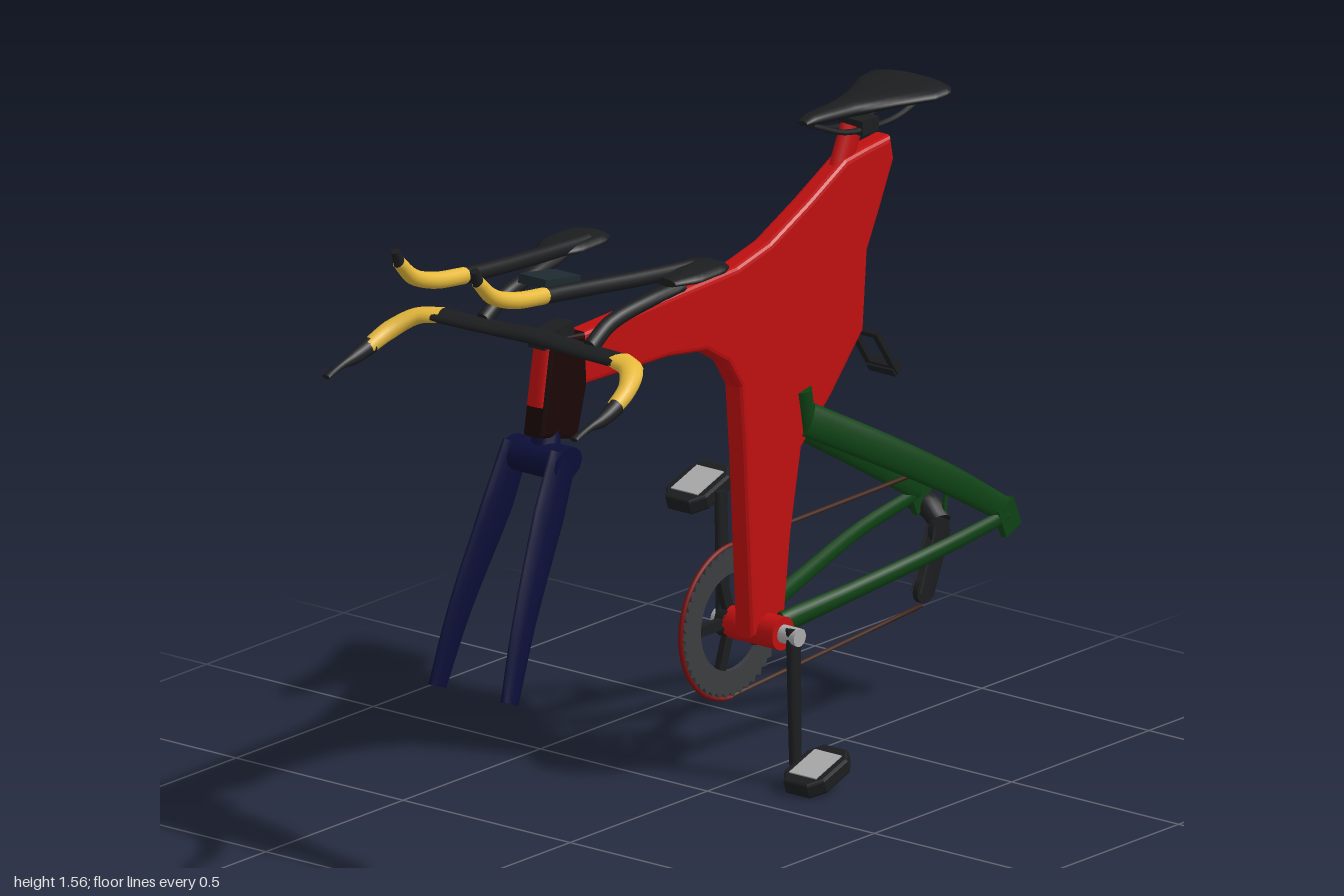
import * as THREE from 'three';

const mat = (color) => new THREE.MeshStandardMaterial({ color });
const red = mat(0xc01010), black = mat(0x1c1d1f), head = mat(0x1a0606), green = mat(0x0e4214);
const navy = mat(0x0c0e38), yellow = mat(0xe6b93c), grey = mat(0x3c3d40), silver = mat(0xaaaaaa);
const chainCol = mat(0x3a1a0c), slate = mat(0x1e2a30);

export function createModel() {
  const model = new THREE.Group();
  const add = (name, geo, material, pos = [0, 0, 0], rot = [0, 0, 0]) => {
    const m = new THREE.Mesh(geo, material);
    m.name = name;
    m.position.set(...pos);
    m.rotation.set(...rot);
    model.add(m);
    return m;
  };
  const box = (name, size, material, pos, rot) => add(name, new THREE.BoxGeometry(...size), material, pos, rot);

  // Sweep of elliptical sections; each point is [x, y, z, halfWidth, halfHeight]
  const loft = (name, pts, material, { steps = 4, sides = 12, ref = [1, 0, 0] } = {}) => {
    const curve = new THREE.CatmullRomCurve3(pts.map((p) => new THREE.Vector3(p[0], p[1], p[2])));
    const n = (pts.length - 1) * steps, pos = [], idx = [];
    for (let i = 0; i <= n; i++) {
      const k = Math.min(Math.floor(i / steps), pts.length - 2), f = i / steps - k;
      const a = THREE.MathUtils.lerp(pts[k][3], pts[k + 1][3], f);
      const b = THREE.MathUtils.lerp(pts[k][4] ?? pts[k][3], pts[k + 1][4] ?? pts[k + 1][3], f);
      const c = curve.getPoint(i / n), t = curve.getTangent(i / n);
      const side = new THREE.Vector3(...ref).addScaledVector(t, -t.dot(new THREE.Vector3(...ref))).normalize();
      const up = t.clone().cross(side);
      for (let j = 0; j < sides; j++) {
        const w = ((j + 0.5) / sides) * Math.PI * 2;
        const v = c.clone().addScaledVector(side, a * Math.cos(w)).addScaledVector(up, b * Math.sin(w));
        pos.push(v.x, v.y, v.z);
        const p = i * sides + j, q = i * sides + ((j + 1) % sides);
        if (i < n) idx.push(p, q, p + sides, q, q + sides, p + sides);
      }
    }
    // End caps on their own vertices so the rims stay crisp
    for (const end of [0, n]) {
      const base = pos.length / 3;
      pos.push(...pos.slice(end * sides * 3, (end + 1) * sides * 3));
      for (let j = 1; j < sides - 1; j++) idx.push(base, base + (end ? j : j + 1), base + (end ? j + 1 : j));
    }
    const g = new THREE.BufferGeometry();
    g.setAttribute('position', new THREE.Float32BufferAttribute(pos, 3));
    g.setIndex(idx);
    g.computeVertexNormals();
    return add(name, g, material);
  };

  // Plate drawn in the (z, y) plane, thickened along x with a bevel
  const plate = (name, shape, width, bevel, material, x = 0, y = 0, z = 0) => {
    const g = new THREE.ExtrudeGeometry(shape, {
      depth: width - 2 * bevel, bevelEnabled: bevel > 0, bevelThickness: bevel, bevelSize: bevel,
      bevelOffset: -bevel, bevelSegments: 3, curveSegments: 32,
    });
    g.translate(0, 0, -(width - 2 * bevel) / 2);
    return add(name, g, material, [x, y, z], [0, -Math.PI / 2, 0]);
  };
  const outline = (pts) => new THREE.Shape(pts.map((p) => new THREE.Vector2(...p)));

  // Main frame, seat post and head tube
  plate('mainFrame', outline([
    [0.5, 1.11], [0.5, 1.237], [-0.08, 1.257], [-0.2, 1.285], [-0.34, 1.35], [-0.475, 1.42], [-0.555, 1.43],
    [-0.64, 1.438], [-0.652, 1.38], [-0.6, 1.27], [-0.555, 1.18], [-0.54, 0.99], [-0.42, 0.857], [-0.315, 0.76],
    [-0.276, 0.56], [-0.25, 0.34], [-0.13, 0.34], [-0.115, 0.6], [-0.105, 0.78], [-0.09, 0.96], [-0.045, 1.03],
    [0.035, 1.08], [0.17, 1.1],
  ]), 0.056, 0.014, red);
  loft('seatPost', [[0, 1.39, -0.48, 0.02, 0.035], [0, 1.485, -0.525, 0.02, 0.035]], red);
  plate('headTube', outline([[0.6, 1.255], [0.475, 1.238], [0.47, 1.11], [0.506, 0.985], [0.64, 1.02]]), 0.06, 0.012, head);
  loft('headFront', [[0, 1.25, 0.598, 0.024, 0.012], [0, 1.09, 0.626, 0.024, 0.012]], red);
  add('bottomBracket', new THREE.CylinderGeometry(0.04, 0.04, 0.15, 24), red, [0, 0.35, -0.185], [0, 0, Math.PI / 2]);
  loft('stayYoke', [[0, 0.9, -0.32, 0.045, 0.03], [0, 0.79, -0.34, 0.045, 0.03]], green);

  // Fork
  loft('forkCrown', [[-0.086, 0.962, 0.61, 0.05, 0.038], [0.086, 0.962, 0.61, 0.05, 0.038]], navy, { ref: [0, -0.25, 1] });
  add('steerer', new THREE.CylinderGeometry(0.03, 0.04, 0.08, 16), navy, [0, 0.99, 0.59], [-0.27, 0, 0]);
  for (const s of [1, -1]) {
    loft('forkBlade', [
      [s * 0.07, 0.985, 0.61, 0.016, 0.05], [s * 0.077, 0.85, 0.672, 0.016, 0.056],
      [s * 0.096, 0.62, 0.785, 0.013, 0.042], [s * 0.108, 0.445, 0.852, 0.012, 0.032],
    ], navy);

    // Rear triangle
    loft('seatStay', [
      [s * 0.03, 0.825, -0.33, 0.016, 0.042], [s * 0.08, 0.715, -0.53, 0.015, 0.04],
      [s * 0.115, 0.6, -0.73, 0.013, 0.036], [s * 0.13, 0.475, -0.93, 0.011, 0.03],
    ], green);
    loft('chainStay', [
      [s * 0.04, 0.36, -0.22, 0.018, 0.028], [s * 0.075, 0.39, -0.42, 0.015, 0.023],
      [s * 0.12, 0.435, -0.7, 0.012, 0.02], [s * 0.133, 0.465, -0.93, 0.01, 0.018],
    ], green);
    box('dropout', [0.018, 0.075, 0.06], green, [s * 0.133, 0.46, -0.93], [0.4, 0, 0]);

    // Crank arm and pedal, the two sides half a turn apart
    const py = 0.35 - s * 0.305, pz = -0.185 + s * 0.01;
    add('crankCap', new THREE.CylinderGeometry(0.022, 0.022, 0.06, 20), silver, [s * 0.095, 0.35, -0.185], [0, 0, Math.PI / 2]);
    loft('crankArm', [[s * 0.105, 0.35 + s * 0.02, -0.185, 0.015, 0.022], [s * 0.12, py, pz, 0.012, 0.018]], black);
    const pedal = new THREE.Group();
    pedal.name = 'pedal';
    const body = outline([[-0.06, -0.045], [-0.06, 0.045], [-0.035, 0.08], [0.035, 0.08], [0.06, 0.045], [0.06, -0.045], [0.035, -0.08], [-0.035, -0.08]].reverse());
    const bodyGeo = new THREE.ExtrudeGeometry(body, { depth: 0.026, bevelThickness: 0.006, bevelSize: 0.006, bevelOffset: -0.006, bevelSegments: 2 });
    bodyGeo.translate(0, 0, -0.013);
    bodyGeo.rotateX(Math.PI / 2);
    pedal.add(new THREE.Mesh(bodyGeo, black), new THREE.Mesh(new THREE.BoxGeometry(0.08, 0.044, 0.1), silver));
    pedal.children[0].name = 'pedalBody';
    pedal.children[1].name = 'pedalPlate';
    pedal.position.set(s * 0.185, py - 0.005, pz);
    pedal.rotation.x = 0.33;
    model.add(pedal);

    // Base bar grip and brake lever
    loft('barGrip', [
      [s * 0.265, 1.262, 0.645, 0.036, 0.016], [s * 0.32, 1.255, 0.668, 0.03, 0.019],
      [s * 0.355, 1.228, 0.725, 0.022, 0.022], [s * 0.367, 1.2, 0.79, 0.019, 0.019],
    ], yellow, { ref: [-s * 0.6, 0, 1] });
    loft('brakeLever', [
      [s * 0.367, 1.203, 0.78, 0.021, 0.021], [s * 0.371, 1.185, 0.83, 0.014, 0.018],
      [s * 0.371, 1.178, 0.88, 0.01, 0.009], [s * 0.371, 1.163, 0.938, 0.011, 0.006],
    ], black);

    // Aero extension, arm pad and its bracket
    loft('extension', [
      [s * 0.155, 1.367, 0.25, 0.018], [s * 0.145, 1.378, 0.4, 0.019],
      [s * 0.13, 1.395, 0.58, 0.019], [s * 0.12, 1.412, 0.745, 0.019],
    ], black);
    loft('extensionGrip', [
      [s * 0.12, 1.412, 0.74, 0.02], [s * 0.12, 1.428, 0.85, 0.02],
      [s * 0.119, 1.458, 0.93, 0.019], [s * 0.118, 1.505, 0.98, 0.016],
    ], yellow);
    loft('extensionTip', [[s * 0.118, 1.5, 0.977, 0.015], [s * 0.118, 1.535, 0.992, 0.011]], black);
    loft('armPad', [
      [s * 0.178, 1.366, 0.19, 0.045, 0.01], [s * 0.178, 1.367, 0.225, 0.063, 0.015],
      [s * 0.178, 1.366, 0.31, 0.063, 0.016], [s * 0.176, 1.364, 0.37, 0.035, 0.01],
    ], black);
    loft('padBracket', [
      [s * 0.18, 1.345, 0.32, 0.024, 0.014], [s * 0.17, 1.332, 0.42, 0.022, 0.017],
      [s * 0.16, 1.305, 0.55, 0.018, 0.02], [s * 0.16, 1.265, 0.62, 0.018, 0.022],
    ], black);

    // Saddle rails
    loft('saddleRail', [
      [s * 0.012, 1.525, -0.37, 0.007], [s * 0.025, 1.487, -0.47, 0.007], [s * 0.03, 1.478, -0.59, 0.007],
      [s * 0.035, 1.488, -0.67, 0.007], [s * 0.045, 1.525, -0.75, 0.007],
    ], black, { sides: 8 });
    // Derailleur cage plates
    loft('derailleurCage', [[-0.08 + s * 0.012, 0.39, -0.94, 0.004, 0.032], [-0.08 + s * 0.012, 0.24, -0.88, 0.004, 0.028]], black);
  }

  // Base bar, stem and display
  loft('baseBar', [
    [-0.275, 1.262, 0.648, 0.036, 0.014], [-0.13, 1.258, 0.632, 0.036, 0.014], [0, 1.258, 0.622, 0.034, 0.016],
    [0.13, 1.258, 0.632, 0.036, 0.014], [0.275, 1.262, 0.648, 0.036, 0.014],
  ], black, { ref: [0, 0, 1] });
  box('stem', [0.05, 0.035, 0.11], black, [0, 1.252, 0.57], [0.1, 0, 0]);
  box('display', [0.08, 0.022, 0.13], slate, [0, 1.387, 0.575], [-0.16, 0, 0]);

  // Saddle and clamp
  loft('saddle', [
    [0, 1.535, -0.345, 0.016, 0.006], [0, 1.537, -0.38, 0.024, 0.014], [0, 1.533, -0.5, 0.04, 0.02],
    [0, 1.532, -0.6, 0.075, 0.021], [0, 1.533, -0.69, 0.118, 0.022], [0, 1.535, -0.74, 0.122, 0.021],
    [0, 1.535, -0.768, 0.1, 0.014],
  ], black, { sides: 20 });
  box('saddleClamp', [0.075, 0.035, 0.06], black, [0, 1.485, -0.55]);

  // Chainring with teeth, spokes and inner ring
  const TEETH = 44, ring = new THREE.Shape();
  for (let i = 0; i < TEETH * 2; i++) {
    const a = (i / TEETH) * Math.PI, r = i % 2 ? 0.172 : 0.184;
    ring[i ? 'lineTo' : 'moveTo'](r * Math.cos(a), r * Math.sin(a));
  }
  ring.holes.push(new THREE.Path().absarc(0, 0, 0.118, 0, Math.PI * 2, true));
  plate('chainring', ring, 0.012, 0, grey, -0.08, 0.35, -0.185);
  for (let i = 0; i < 5; i++) {
    const a = (i / 5) * Math.PI * 2 + 0.3;
    box('chainringSpoke', [0.016, 0.12, 0.026], black, [-0.083, 0.35 + 0.07 * Math.cos(a), -0.185 + 0.07 * Math.sin(a)], [a, 0, 0]);
  }
  add('chainringHub', new THREE.CylinderGeometry(0.04, 0.04, 0.03, 24), black, [-0.085, 0.35, -0.185], [0, 0, Math.PI / 2]);

  // Chain: front half wraps the ring, two runs go to the rear
  const wrap = new THREE.TorusGeometry(0.185, 0.006, 6, 40, Math.PI);
  wrap.rotateZ(-Math.PI / 2);
  add('chainWrap', wrap, mat(0x7a1010), [-0.08, 0.35, -0.185], [0, -Math.PI / 2, 0]);
  loft('chainTop', [[-0.08, 0.535, -0.185, 0.006], [-0.08, 0.54, -0.94, 0.006]], chainCol, { sides: 6 });
  loft('chainBottom', [[-0.08, 0.167, -0.185, 0.006], [-0.08, 0.213, -0.875, 0.006]], chainCol, { sides: 6 });
  loft('chainRear', [[-0.08, 0.54, -0.94, 0.006], [-0.08, 0.5, -0.965, 0.006], [-0.08, 0.42, -0.96, 0.006]], green, { sides: 6 });

  // Derailleurs and cable
  for (const [y, z] of [[0.385, -0.94], [0.25, -0.885]])
    add('jockeyWheel', new THREE.CylinderGeometry(0.032, 0.032, 0.014, 14), black, [-0.08, y, z], [0, 0, Math.PI / 2]);
  loft('rearDerailleur', [[-0.165, 0.43, -0.96, 0.022, 0.03], [-0.13, 0.43, -0.96, 0.03, 0.034], [-0.08, 0.4, -0.945, 0.022, 0.028]], black, { ref: [0, 1, 0] });
  loft('shiftCable', [
    [-0.138, 0.5, -0.89, 0.006], [-0.14, 0.545, -0.9, 0.006], [-0.142, 0.54, -0.96, 0.006],
    [-0.145, 0.48, -0.985, 0.006], [-0.145, 0.42, -0.975, 0.006],
  ], green, { sides: 8 });
  box('frontDerailleur', [0.035, 0.06, 0.06], black, [-0.043, 0.552, -0.28]);

  // Rear bracket: a tilted open rectangular frame
  const loop = outline([[-0.045, -0.07], [0.045, -0.07], [0.045, 0.07], [-0.045, 0.07]]);
  loop.holes.push(new THREE.Path([[-0.028, -0.045], [-0.028, 0.055], [0.028, 0.055], [0.028, -0.045]].map((p) => new THREE.Vector2(...p))));
  const loopGeo = new THREE.ExtrudeGeometry(loop, { depth: 0.012, bevelEnabled: false });
  add('rearBracket', loopGeo, black, [0, 0.925, -0.61], [0.6, 0, 0]);
  box('rearBracketFoot', [0.08, 0.022, 0.032], black, [0, 0.872, -0.645], [0.6, 0, 0]);

  return model;
}
